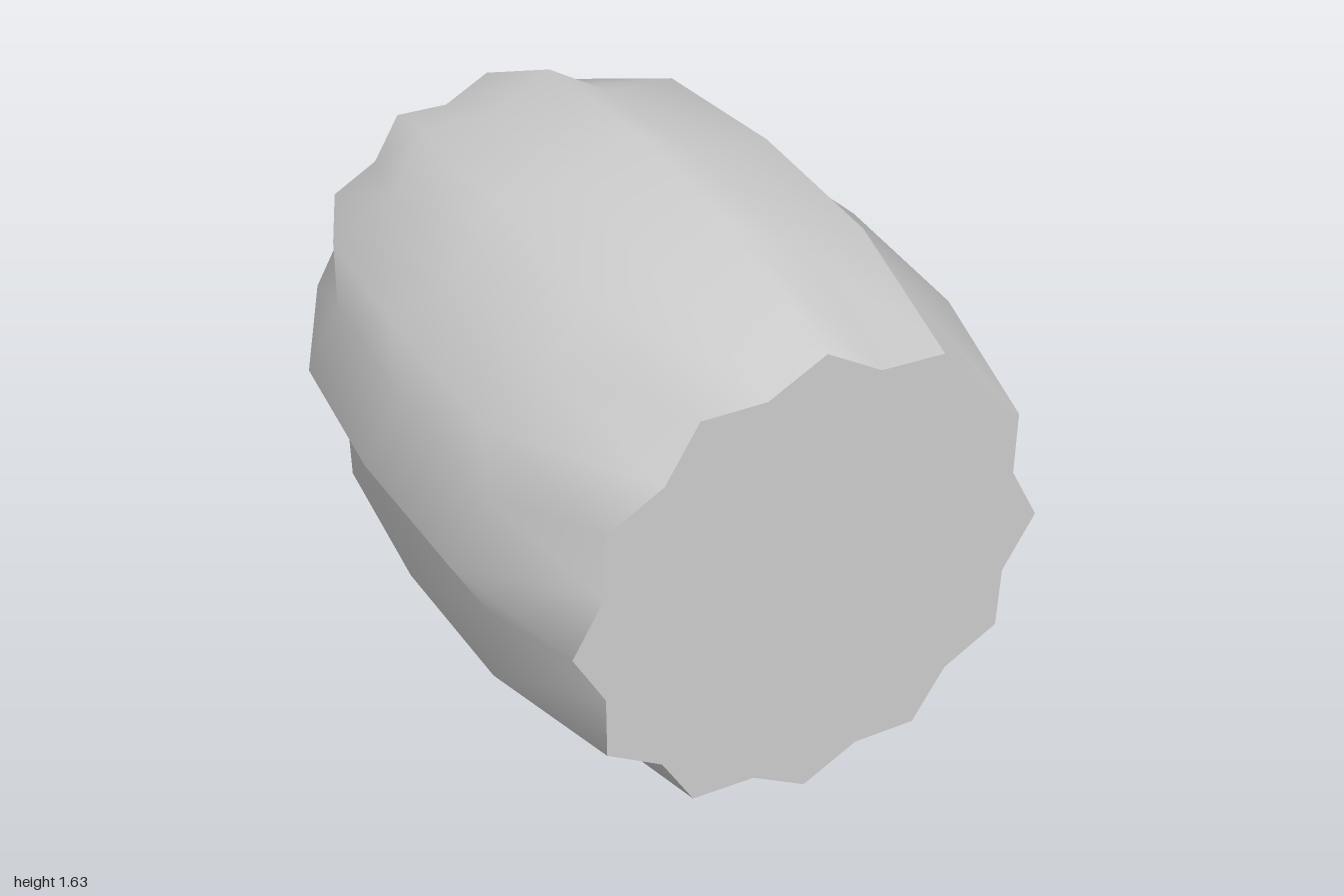
import * as THREE from 'three';

const POINTS = 12, SIDES = POINTS * 2, INNER = 0.9, CENTRE_Y = 0.817;
// [z, outer radius] from back to front
const RINGS = [[-1, 0.595], [-0.535, 0.787], [0, 0.817], [0.525, 0.787], [1, 0.67]];

const starRadius = (j, r) => (j % 2 ? r * INNER : r);

// Fluted, bulging wall lofted through the star-shaped rings
function wallGeometry() {
  const pos = [], index = [];
  RINGS.forEach(([z, r], i) => {
    for (let j = 0; j < SIDES; j++) {
      const t = (j / SIDES) * Math.PI * 2, s = starRadius(j, r);
      pos.push(Math.cos(t) * s, Math.sin(t) * s, z);
      if (i === RINGS.length - 1) continue;
      const k = (j + 1) % SIDES;
      const a = i * SIDES + j, b = i * SIDES + k;
      index.push(a, b, a + SIDES, b, b + SIDES, a + SIDES);
    }
  });
  const geo = new THREE.BufferGeometry();
  geo.setAttribute('position', new THREE.Float32BufferAttribute(pos, 3));
  geo.setIndex(index);
  geo.computeVertexNormals();
  return geo;
}

// Flat star-shaped end: a disc with every other rim vertex pulled in
function capGeometry(radius) {
  const geo = new THREE.CircleGeometry(radius, SIDES);
  const p = geo.attributes.position;
  for (let v = 1; v < p.count; v++) {
    const f = starRadius(v - 1, 1);
    p.setXY(v, p.getX(v) * f, p.getY(v) * f);
  }
  return geo;
}

export function createModel() {
  const group = new THREE.Group();
  group.name = 'flutedBarrel';
  const material = new THREE.MeshStandardMaterial({ color: 0xcccccc });
  const add = (name, geo, z = 0) => {
    const mesh = new THREE.Mesh(geo, material);
    mesh.name = name;
    mesh.position.set(0, CENTRE_Y, z);
    group.add(mesh);
  };

  add('barrelWall', wallGeometry());
  const [backZ, backR] = RINGS[0];
  const [frontZ, frontR] = RINGS[RINGS.length - 1];
  add('frontEnd', capGeometry(frontR), frontZ);
  add('backEnd', capGeometry(backR).rotateY(Math.PI), backZ);
  return group;
}
